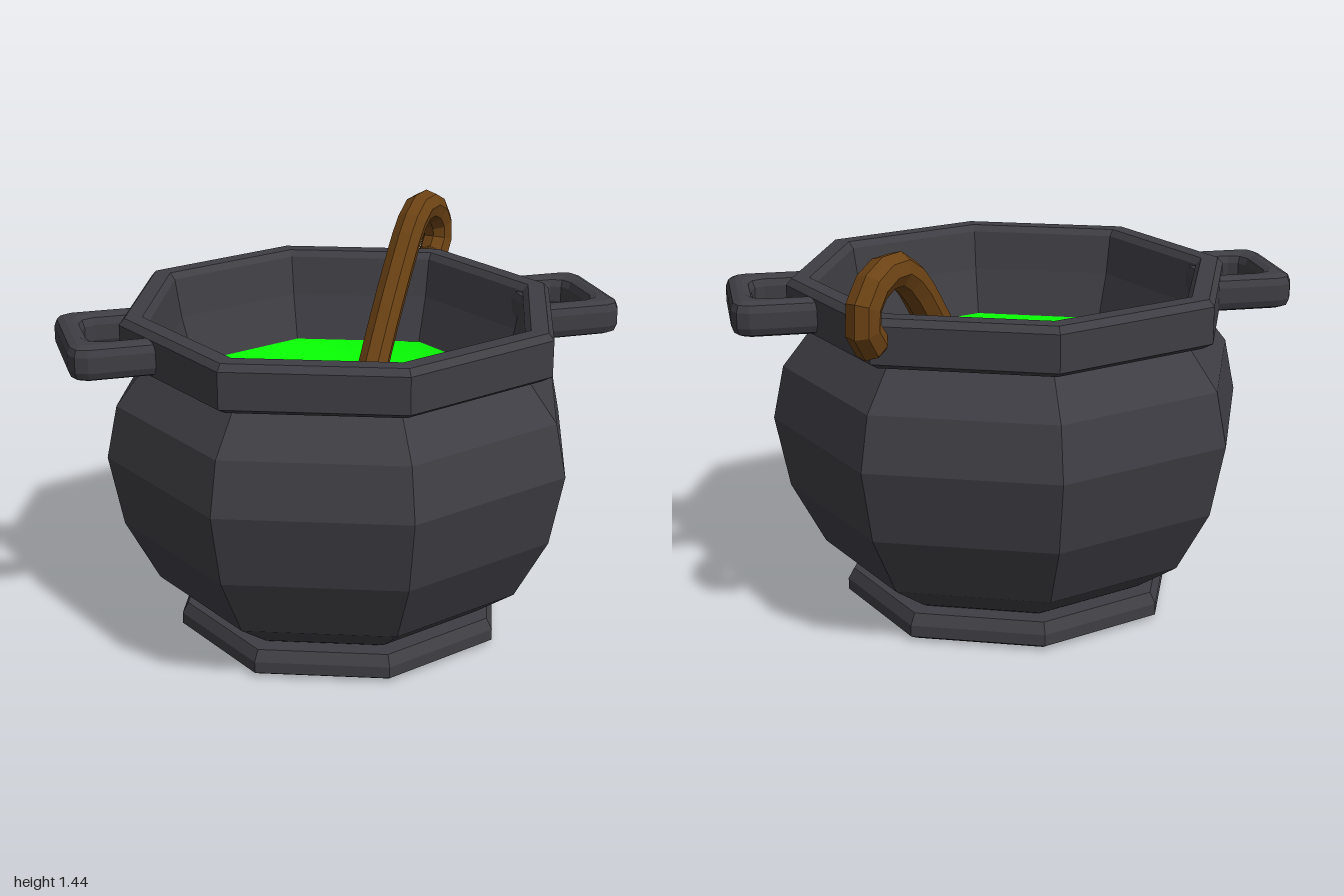
import * as THREE from 'three';

const iron = new THREE.MeshStandardMaterial({ color: 0x3f3e44, flatShading: true });
const green = new THREE.MeshStandardMaterial({ color: 0x08ff04 });
const wood = new THREE.MeshStandardMaterial({ color: 0x6b4214, flatShading: true });

function add(parent, name, geometry, material) {
  const mesh = new THREE.Mesh(geometry, material);
  mesh.name = name;
  parent.add(mesh);
  return mesh;
}

// Eight-sided turned part from [radius, height] pairs; diagonal corners sit slightly further out
function turned(profile) {
  const geometry = new THREE.LatheGeometry(profile.map(([r, y]) => new THREE.Vector2(r, y)), 8);
  const position = geometry.attributes.position;
  for (let i = 0; i < position.count; i++) {
    const k = Math.floor(i / profile.length) % 2 ? 1.025 : 1;
    position.setX(i, position.getX(i) * k);
    position.setZ(i, position.getZ(i) * k);
  }
  return geometry;
}

// Outline of a rectangle with cut inner corners and rounded outer ones
function loop(target, x0, x1, h, c0, c1) {
  const k = 0.3;
  return target.setFromPoints([
    [x0, -h + c0], [x0 + c0, -h], [x1 - c1, -h], [x1 - c1 * k, -h + c1 * k], [x1, -h + c1],
    [x1, h - c1], [x1 - c1 * k, h - c1 * k], [x1 - c1, h], [x0 + c0, h], [x0, h - c0],
    [x0, -h + c0],
  ].map(([x, y]) => new THREE.Vector2(x, y)));
}

function handleGeometry() {
  const shape = loop(new THREE.Shape(), 0.67, 1.0, 0.225, 0.035, 0.06);
  shape.holes.push(loop(new THREE.Path(), 0.745, 0.915, 0.135, 0.01, 0.05));
  const geometry = new THREE.ExtrudeGeometry(shape, {
    depth: 0.055, bevelEnabled: true, bevelThickness: 0.035,
    bevelSize: 0.033, bevelOffset: -0.033, bevelSegments: 2,
  });
  geometry.translate(0, 0, -0.0275);
  geometry.rotateX(-Math.PI / 2);
  return geometry;
}

export function createModel() {
  const group = new THREE.Group();

  // Foot ring
  add(group, 'foot', turned([
    [0, 0], [0.58, 0], [0.612, 0.018], [0.612, 0.06], [0.59, 0.1], [0, 0.1],
  ]), iron);

  // Bulging body
  add(group, 'body', turned([
    [0.5, 0.09], [0.54, 0.112], [0.69, 0.22], [0.81, 0.45],
    [0.86, 0.71], [0.82, 0.9], [0.71, 1.04], [0.71, 1.07],
  ]), iron);

  // Thick rim with the inner wall below it
  add(group, 'rim', turned([
    [0.69, 1.032], [0.76, 1.044], [0.798, 1.066], [0.798, 1.195], [0.778, 1.218],
    [0.715, 1.218], [0.695, 1.195], [0.67, 1.05], [0.62, 0.88],
  ]), iron);

  // Brew, sunken toward the middle
  add(group, 'brew', turned([[0.625, 0.885], [0.49, 0.745], [0, 0.745]]), green);

  // Pair of looped side handles
  for (const side of [1, -1]) {
    const handle = add(group, side > 0 ? 'leftHandle' : 'rightHandle', handleGeometry(), iron);
    handle.position.y = 1.132;
    if (side < 0) handle.rotation.y = Math.PI;
  }

  // Hooked stirring stick leaning on a diagonal
  const stick = new THREE.Group();
  stick.name = 'stirringStick';
  const path = new THREE.CatmullRomCurve3([
    [0.165, 0.74], [0.287, 1.03], [0.376, 1.22], [0.43, 1.32], [0.48, 1.376], [0.535, 1.38],
    [0.592, 1.335], [0.617, 1.26], [0.607, 1.2], [0.585, 1.165],
  ].map(([x, y]) => new THREE.Vector3(x, y, -0.256 - (x - 0.18) * 1.07)));
  add(stick, 'shaft', new THREE.TubeGeometry(path, 16, 0.06, 8), wood);
  for (const t of [0, 1]) {
    const tip = add(stick, 'stickEnd', new THREE.SphereGeometry(0.06, 8, 4), wood);
    tip.scale.y = 0.5;
    tip.position.copy(path.getPoint(t));
    tip.quaternion.setFromUnitVectors(new THREE.Vector3(0, 1, 0), path.getTangent(t));
  }
  group.add(stick);

  return group;
}
